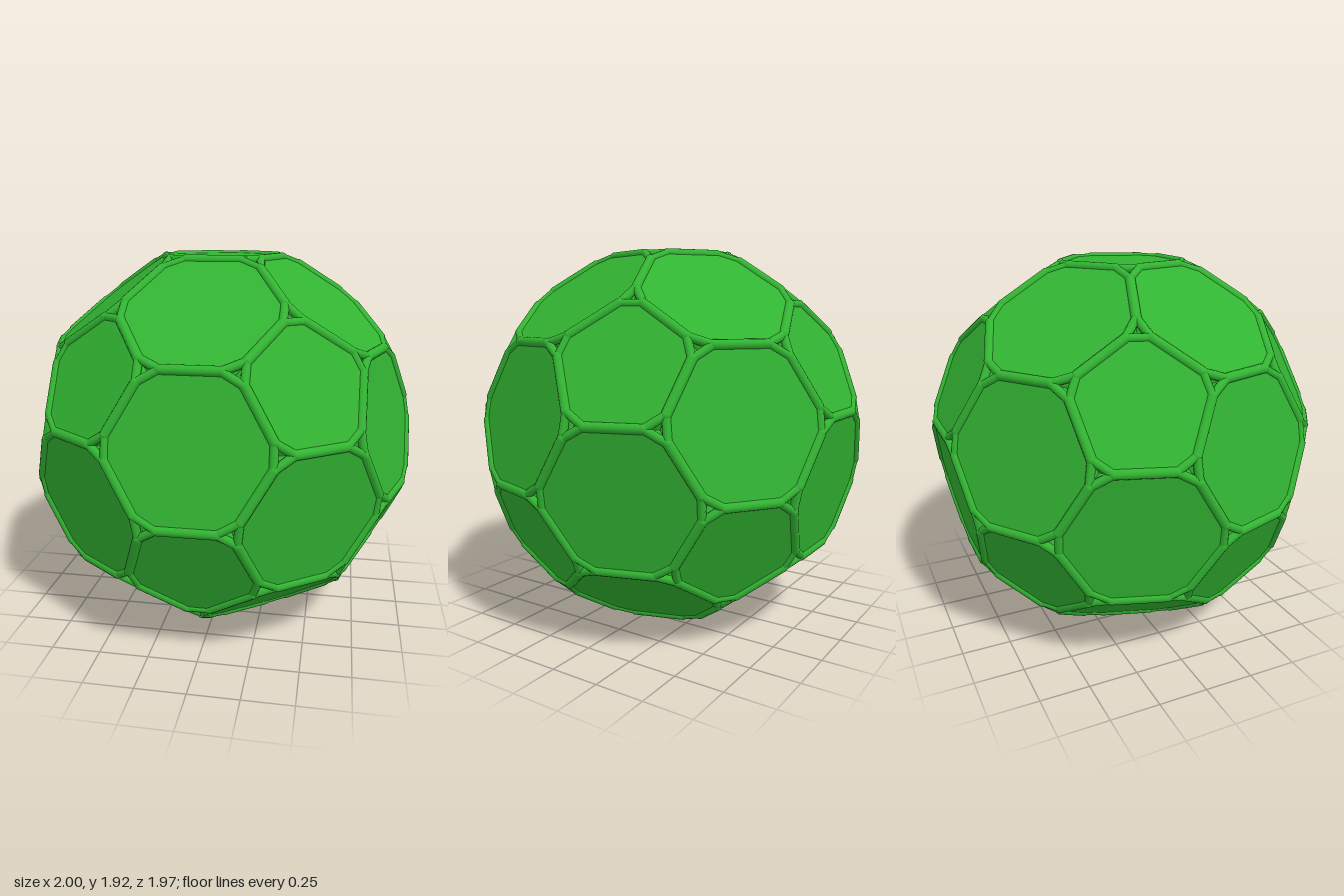
import * as THREE from 'three';
import { mergeGeometries } from 'three/addons/utils/BufferGeometryUtils.js';

const EDGE = 0.411;       // side of the pentagons and hexagons
const CUT = 0.17;         // share of a side lost at each cut corner
const RIM = 0.024;        // rim radius
const CENTRE_Y = 0.965;

// Twelve pentagon directions: two poles and two staggered rings
function pentagonDirections() {
  const dirs = [new THREE.Vector3(0, 1, 0), new THREE.Vector3(0, -1, 0)];
  const h = 1 / Math.sqrt(5);
  for (let i = 0; i < 5; i++) {
    const a = (i * 2 * Math.PI) / 5;
    const x = 2 * h * Math.sin(a), z = 2 * h * Math.cos(a);
    dirs.push(new THREE.Vector3(x, -h, z), new THREE.Vector3(-x, h, -z));
  }
  return dirs;
}

// Fan of triangles from a centre to a loop, wound to face outwards
function fan(centre, loop) {
  const pos = [];
  loop.forEach((p, i) => {
    const q = loop[(i + 1) % loop.length];
    const n = p.clone().sub(centre).cross(q.clone().sub(centre));
    const order = n.dot(centre) > 0 ? [centre, p, q] : [centre, q, p];
    order.forEach((v) => pos.push(v.x, v.y, v.z));
  });
  const geo = new THREE.BufferGeometry();
  geo.setAttribute('position', new THREE.Float32BufferAttribute(pos, 3));
  geo.computeVertexNormals();
  return geo;
}

function rod(a, b, radius) {
  const d = b.clone().sub(a);
  const geo = new THREE.CylinderGeometry(radius, radius, d.length(), 12, 1, true);
  geo.applyQuaternion(new THREE.Quaternion().setFromUnitVectors(new THREE.Vector3(0, 1, 0), d.normalize()));
  const m = a.clone().add(b).multiplyScalar(0.5);
  return geo.translate(m.x, m.y, m.z);
}

export function createModel() {
  const group = new THREE.Group();
  const ball = new THREE.Group();
  ball.name = 'ball';
  ball.position.y = CENTRE_Y;
  group.add(ball);
  const material = new THREE.MeshStandardMaterial({ color: 0x32b432 });
  const add = (name, geos) => {
    const mesh = new THREE.Mesh(mergeGeometries(geos), material);
    mesh.name = name;
    ball.add(mesh);
  };

  // Corners of the truncated icosahedron, on the edges between pentagon centres
  const pents = pentagonDirections();
  const near = (a, b) => a !== b && a.distanceTo(b) < 1.1;
  const size = (3 * EDGE) / pents[0].distanceTo(pents[3]);
  const corners = [];
  for (const a of pents) for (const b of pents) {
    if (near(a, b)) corners.push(a.clone().lerp(b, 1 / 3).multiplyScalar(size));
  }
  const hexes = [];
  pents.forEach((a, i) => pents.forEach((b, j) => pents.forEach((c, k) => {
    if (i < j && j < k && near(a, b) && near(b, c) && near(a, c)) {
      hexes.push(a.clone().add(b).add(c).normalize());
    }
  })));

  // Flat panels with cut corners
  const panel = (dir) => {
    const far = Math.max(...corners.map((p) => p.dot(dir)));
    const loop = corners.filter((p) => p.dot(dir) > far - 0.01);
    const u = loop[0].clone().addScaledVector(dir, -far).normalize();
    const v = dir.clone().cross(u);
    const angle = (p) => Math.atan2(p.dot(v), p.dot(u));
    loop.sort((p, q) => angle(p) - angle(q));
    const cut = loop.flatMap((p, i) => {
      const q = loop[(i + 1) % loop.length];
      return [p.clone().lerp(q, CUT), p.clone().lerp(q, 1 - CUT)];
    });
    return fan(dir.clone().multiplyScalar(far * 0.99), cut.map((p) => p.multiplyScalar(0.99)));
  };
  add('pentagonPanels', pents.map(panel));
  add('hexagonPanels', hexes.map(panel));

  // Rounded rims along the seams and cut corners, with a dent at each corner
  const rims = [], cornerRims = [], dents = [];
  corners.forEach((p, i) => {
    const ends = [];
    corners.forEach((q, j) => {
      if (i === j || p.distanceTo(q) > EDGE * 1.05) return;
      const a = p.clone().lerp(q, CUT).multiplyScalar(0.98);
      ends.push(a);
      if (i < j) rims.push(rod(a, p.clone().lerp(q, 1 - CUT).multiplyScalar(0.98), RIM));
    });
    ends.forEach((a, k) => {
      cornerRims.push(rod(a, ends[(k + 1) % 3], RIM * 0.85));
      cornerRims.push(new THREE.SphereGeometry(RIM, 12, 8).translate(a.x, a.y, a.z));
    });
    dents.push(fan(p.clone().multiplyScalar(0.935), ends));
  });
  add('seamRims', rims);
  add('cornerRims', cornerRims);
  add('cornerDents', dents);
  return group;
}
